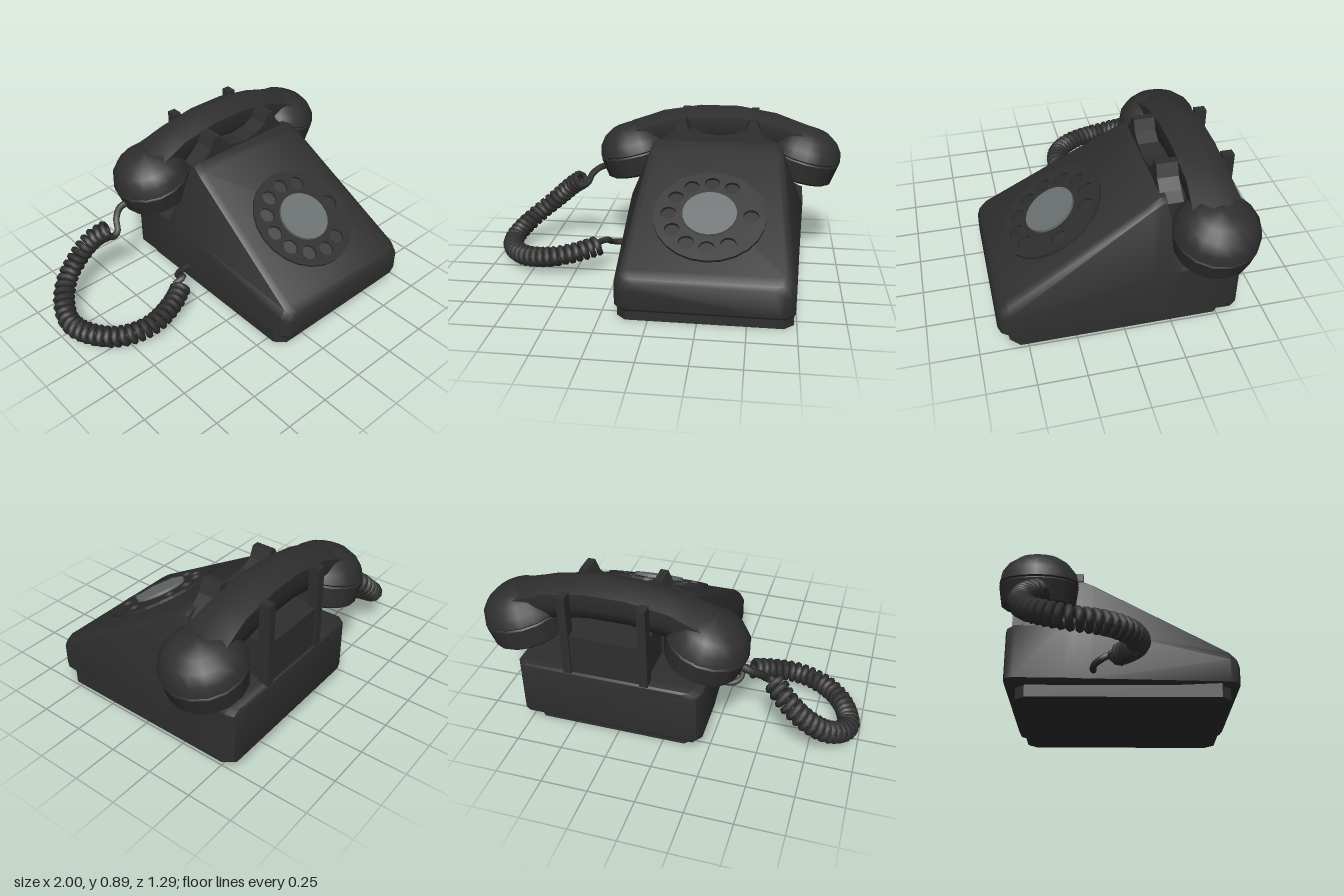
import * as THREE from 'three';
import { toCreasedNormals } from 'three/addons/utils/BufferGeometryUtils.js';

const CX = 0.285; // centre line of the telephone body

// Loft symmetric cross-sections, listed from +z to -z.
// Each half is a list of [x, y] from bottom to top on the +x side.
function loft(sections, crease = 0.6) {
  const pos = [], idx = [];
  const rings = sections.map(({ z, half }) => {
    const mirrored = half.filter(p => p[0] > 0).reverse().map(([x, y]) => [-x, y]);
    return [...half, ...mirrored].map(([x, y]) => [x, y, z]);
  });
  const n = rings[0].length;
  rings.forEach(r => r.forEach(p => pos.push(...p)));
  for (let i = 0; i < rings.length - 1; i++) {
    for (let j = 0; j < n; j++) {
      const a = i * n + j, b = i * n + (j + 1) % n;
      idx.push(a, a + n, b + n, a, b + n, b);
    }
  }
  const last = (rings.length - 1) * n;
  for (let j = 1; j < n - 1; j++) {
    idx.push(0, j, j + 1, last, last + j + 1, last + j);
  }
  const g = new THREE.BufferGeometry();
  g.setAttribute('position', new THREE.Float32BufferAttribute(pos, 3));
  g.setIndex(idx);
  return toCreasedNormals(g, crease);
}

export function createModel() {
  const group = new THREE.Group();
  const black = new THREE.MeshStandardMaterial({ color: 0x2f2f2f });
  black.name = 'black plastic';
  const grey = new THREE.MeshStandardMaterial({ color: 0x6b7070 });
  grey.name = 'grey dial centre';

  const add = (name, geo, x = 0, y = 0, z = 0, mat = black, parent = group) => {
    const m = new THREE.Mesh(geo, mat);
    m.name = name;
    m.position.set(x, y, z);
    parent.add(m);
    return m;
  };

  // Body: z, bottom y, bottom half width, shoulder y, top half width, top y
  const body = [
    [0.645, 0.085, 0.40, 0.19, 0.385, 0.225],
    [0.63, 0.07, 0.43, 0.20, 0.41, 0.247],
    [0.59, 0.065, 0.455, 0.21, 0.43, 0.275],
    [-0.14, 0.065, 0.49, 0.37, 0.375, 0.705],
    [-0.20, 0.065, 0.493, 0.38, 0.365, 0.735],
    [-0.225, 0.065, 0.495, 0.38, 0.36, 0.735],
    [-0.28, 0.065, 0.50, 0.38, 0.49, 0.40],
    [-0.55, 0.065, 0.505, 0.38, 0.495, 0.40],
    [-0.59, 0.07, 0.48, 0.37, 0.47, 0.395],
    [-0.60, 0.085, 0.45, 0.36, 0.44, 0.385],
  ].map(([z, yb, wb, ym, wt, yt]) => ({
    z, half: [[wb - 0.02, yb], [wb, yb + 0.02], [wb, ym], [wt, yt - 0.02], [wt - 0.035, yt]],
  }));
  add('body', loft(body), CX);

  // Recessed base
  const base = [[0.59, 0.40], [0.54, 0.45], [-0.49, 0.45], [-0.54, 0.40]]
    .map(([z, w]) => ({ z, half: [[w, 0], [w, 0.08]] }));
  add('base', loft(base), CX);

  // Cradle: flared front horns, middle block and rear posts
  const right = [[0.225, 0.4], [0.225, 0.6], [0.35, 0.70], [0.30, 0.735], [0.25, 0.785],
    [0.22, 0.85], [0.18, 0.85], [0.155, 0.79], [0.09, 0.757], [0, 0.745]];
  const outline = [...right, ...right.slice(0, -1).reverse().map(([x, y]) => [-x, y])];
  const horn = new THREE.Shape(outline.map(([x, y]) => new THREE.Vector2(x, y)));
  add('frontCradle', new THREE.ExtrudeGeometry(horn, { depth: 0.11, bevelEnabled: false }), CX, 0, -0.31);
  add('cradleBlock', new THREE.BoxGeometry(0.42, 0.23, 0.31), CX, 0.505, -0.435);
  for (const s of [-1, 1]) {
    add('rearCradlePost', new THREE.BoxGeometry(0.045, 0.46, 0.06), CX + s * 0.207, 0.62, -0.57);
  }

  // Handset grip with a peaked section, flaring into the cups
  const grip = [[0.52, 0.665, 1.2], [0.42, 0.70, 1.08], [0.33, 0.733, 1], [0.11, 0.77, 1],
    [-0.11, 0.77, 1], [-0.33, 0.733, 1], [-0.42, 0.70, 1.08], [-0.52, 0.665, 1.2]]
    .map(([z, y, k]) => ({
      z,
      half: [[0, -0.1], [0.08, -0.075], [0.11, 0], [0.11, 0.08], [0, 0.125]]
        .map(([u, v]) => [u * k, y + v]),
    }));
  add('handsetGrip', loft(grip, 1.1), CX, 0, -0.43).rotation.y = Math.PI / 2;

  // Earpiece and mouthpiece cups
  const cupProfile = [[0, -0.13], [0.185, -0.13], [0.2, -0.118], [0.215, -0.008], [0.207, 0],
    [0.215, 0.008], [0.203, 0.06], [0.165, 0.11], [0.11, 0.145], [0, 0.165]]
    .map(([x, y]) => new THREE.Vector2(x, y));
  const cupGeo = toCreasedNormals(new THREE.LatheGeometry(cupProfile, 16), 0.7);
  for (const s of [-1, 1]) {
    add(s < 0 ? 'mouthpiece' : 'earpiece', cupGeo, CX + s * 0.5, 0.62, -0.43).rotation.z = -s * 0.245;
  }

  // Rotary dial lying on the sloping face
  const dial = new THREE.Group();
  dial.name = 'dial';
  dial.position.set(CX, 0.462, 0.28);
  dial.rotation.x = -Math.PI / 2 + 0.533;
  group.add(dial);
  const plate = new THREE.Shape().absarc(0, 0, 0.295, 0, Math.PI * 2);
  for (let i = 0; i < 12; i++) {
    if (i === 1 || i === 11) continue;
    const a = i * Math.PI / 6;
    plate.holes.push(new THREE.Path().absarc(0.215 * Math.cos(a), 0.215 * Math.sin(a), 0.041, 0, Math.PI * 2, true));
  }
  add('fingerWheel', new THREE.ExtrudeGeometry(plate, { depth: 0.015, bevelEnabled: false, curveSegments: 12 }),
    0, 0, 0.002, black, dial);
  const disc = new THREE.CylinderGeometry(0.142, 0.142, 0.03, 24).rotateX(Math.PI / 2);
  add('dialCentre', disc, 0, 0, 0.018, grey, dial);

  // Coiled cord wound round a sweeping path, with plain leads at both ends
  const V = (p) => new THREE.Vector3(...p);
  const path = new THREE.CatmullRomCurve3([
    [-0.55, 0.415, -0.40], [-0.62, 0.36, -0.45], [-0.72, 0.27, -0.465], [-0.83, 0.18, -0.43],
    [-0.915, 0.11, -0.33], [-0.94, 0.075, -0.22], [-0.89, 0.075, -0.07], [-0.78, 0.085, 0.045],
    [-0.63, 0.105, 0.09], [-0.48, 0.13, 0.06], [-0.36, 0.155, 0.0],
  ].map(V));
  const turns = 36, steps = turns * 10, coil = [];
  for (let i = 0; i <= steps; i++) {
    const t = i / steps, a = t * turns * Math.PI * 2;
    const tan = path.getTangentAt(t);
    const side = new THREE.Vector3(0, 1, 0).cross(tan).normalize();
    const up = tan.clone().cross(side);
    coil.push(path.getPointAt(t).addScaledVector(side, 0.043 * Math.cos(a)).addScaledVector(up, 0.043 * Math.sin(a)));
  }
  const wire = (name, pts, segs, r) =>
    add(name, new THREE.TubeGeometry(new THREE.CatmullRomCurve3(pts), segs, r, 6));
  wire('coiledCord', coil, steps, 0.019);
  wire('handsetLead', [V([-0.36, 0.51, -0.43]), V([-0.43, 0.49, -0.44]), V([-0.48, 0.455, -0.41]),
    V([-0.51, 0.40, -0.365]), V([-0.55, 0.39, -0.36]), coil[0]], 20, 0.02);
  wire('bodyLead', [coil[steps], V([-0.32, 0.18, -0.03]), V([-0.315, 0.145, -0.09]),
    V([-0.28, 0.13, -0.125]), V([-0.18, 0.13, -0.13])], 20, 0.018);

  return group;
}
